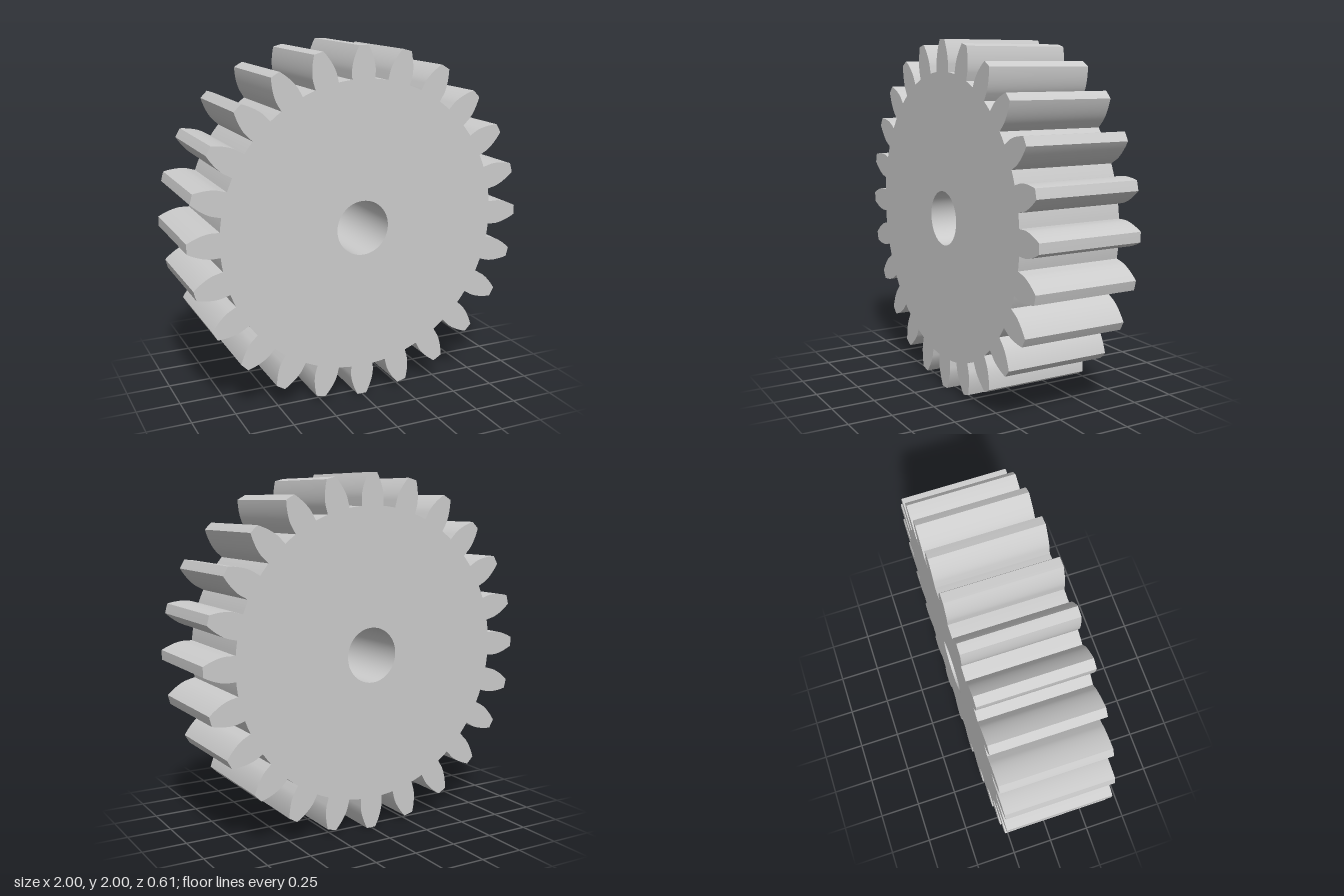
import * as THREE from 'three';
import { toCreasedNormals } from 'three/addons/utils/BufferGeometryUtils.js';

const TEETH = 24;
const TIP = 1, ROOT = 0.823, BORE = 0.155, WIDTH = 0.61;
const PITCH = TIP * TEETH / (TEETH + 2);
const PRESSURE = THREE.MathUtils.degToRad(20);
const BASE = PITCH * Math.cos(PRESSURE);

const involute = (a) => Math.tan(a) - a;

// Half angle covered by a tooth at radius r: involute flank above the base circle
function halfAngle(r) {
  const a = r > BASE ? Math.acos(BASE / r) : 0;
  return Math.PI / (2 * TEETH) + involute(PRESSURE) - involute(a);
}

// One flank from root to tip as [radius, half angle]
function flankPoints(steps = 10) {
  const flank = [[ROOT, halfAngle(ROOT) + 0.003]];
  for (let i = 0; i <= steps; i++) {
    const r = BASE + (TIP - BASE) * i / steps;
    flank.push([r, halfAngle(r)]);
  }
  return flank;
}

function gearShape() {
  const flank = flankPoints();
  const points = [];
  const add = (r, a) => points.push(new THREE.Vector2(r * Math.cos(a), r * Math.sin(a)));
  const pitchAngle = 2 * Math.PI / TEETH;
  const rootHalf = flank[0][1];

  for (let t = 0; t < TEETH; t++) {
    const centre = t * pitchAngle;
    for (const [r, a] of flank) add(r, centre - a);
    add(TIP, centre);
    for (const [r, a] of [...flank].reverse()) add(r, centre + a);
    // Root arc up to the next tooth
    const gap = pitchAngle - 2 * rootHalf;
    for (let i = 1; i < 4; i++) add(ROOT, centre + rootHalf + gap * i / 4);
  }

  const shape = new THREE.Shape(points);
  const bore = new THREE.Path();
  bore.absarc(0, 0, BORE, 0, Math.PI * 2, true);
  shape.holes.push(bore);
  return shape;
}

export function createModel() {
  const group = new THREE.Group();
  group.name = 'spurGear';

  // Toothed disc with a round shaft bore
  const extruded = new THREE.ExtrudeGeometry(gearShape(), {
    depth: WIDTH, bevelEnabled: false, curveSegments: 32,
  });
  extruded.translate(0, 0, -WIDTH / 2);
  const geometry = toCreasedNormals(extruded, THREE.MathUtils.degToRad(25));

  const gear = new THREE.Mesh(geometry, new THREE.MeshStandardMaterial({ color: 0xcccccc }));
  gear.name = 'toothedWheel';
  gear.position.y = TIP;
  group.add(gear);
  return group;
}
